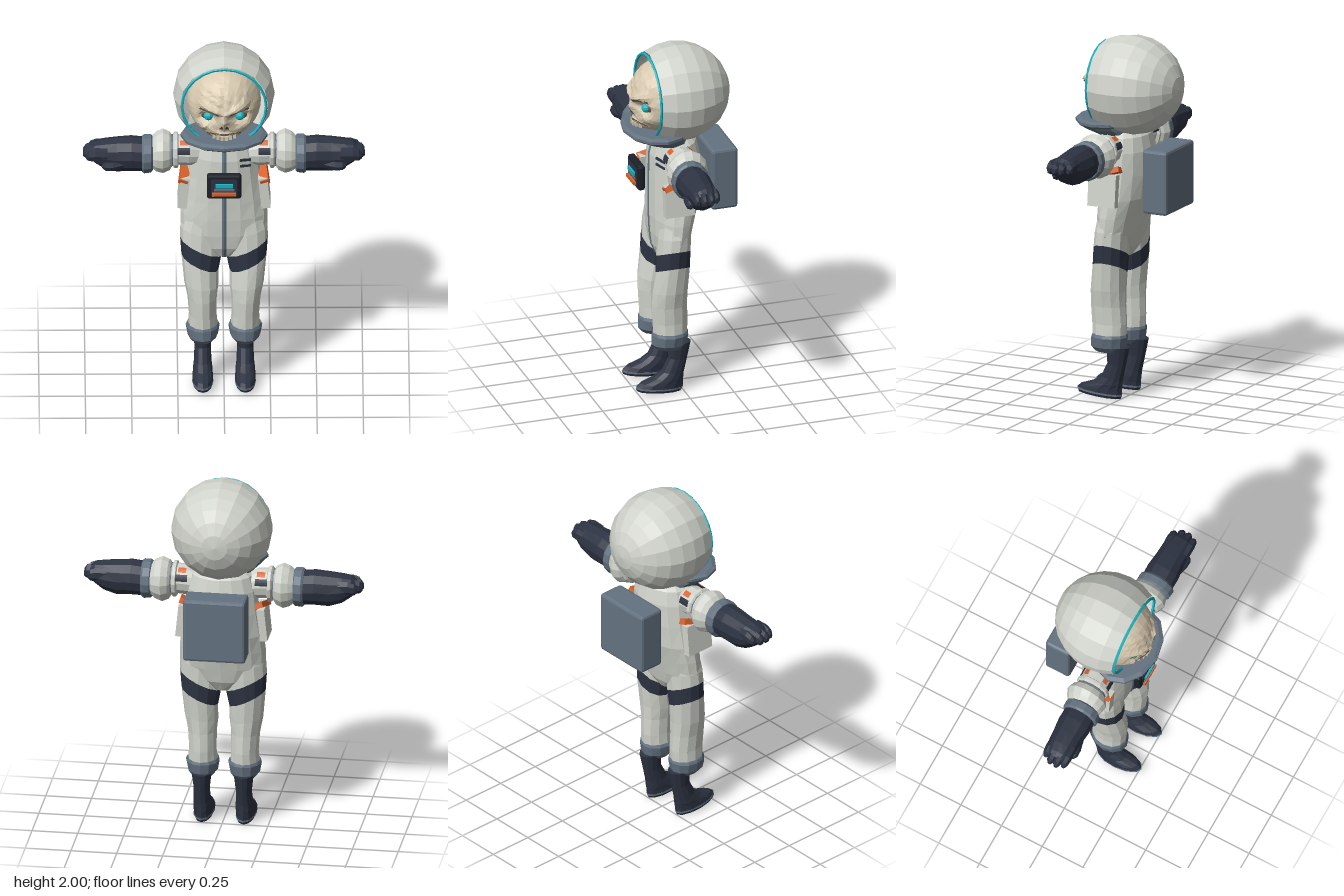
import * as THREE from 'three';
import { RoundedBoxGeometry } from 'three/addons/geometries/RoundedBoxGeometry.js';

const mat = (name, color, side = THREE.FrontSide) => {
  const m = new THREE.MeshStandardMaterial({ color, side });
  m.name = name;
  return m;
};

// Facet a geometry: every face gets its own flat normal
function facet(geo) {
  const g = geo.index ? geo.toNonIndexed() : geo;
  g.computeVertexNormals();
  return g;
}

// Mirror across x and restore the corner order
function mirrored(geo) {
  const g = geo.clone().scale(-1, 1, 1);
  const p = g.attributes.position, a = new THREE.Vector3(), b = new THREE.Vector3();
  for (let i = 0; i < p.count; i += 3) {
    a.fromBufferAttribute(p, i + 1);
    b.fromBufferAttribute(p, i + 2);
    p.setXYZ(i + 1, b.x, b.y, b.z);
    p.setXYZ(i + 2, a.x, a.y, a.z);
  }
  g.computeVertexNormals();
  return g;
}

// Skin elliptical rings along y: [y, cx, cz, rx, rz, slant] or along x: [x, cy, cz, ry, rz]
function loft(rings, n = 12, axis = 'y') {
  const pos = [], idx = [];
  const put = ([t, a, b, ra, rb, slant = 0], c, s) => {
    if (axis === 'y') pos.push(a + ra * c, t + slant * ra * c, b + rb * s);
    else pos.push(t, a + ra * s, b + rb * c);
  };
  for (const r of rings) {
    for (let i = 0; i < n; i++) {
      const th = (i / n) * Math.PI * 2;
      put(r, Math.cos(th), Math.sin(th));
    }
  }
  const last = (rings.length - 1) * n, c0 = rings.length * n;
  put(rings[0], 0, 0);
  put(rings[rings.length - 1], 0, 0);
  for (let i = 0; i < n; i++) {
    const j = (i + 1) % n;
    for (let k = 0; k < last; k += n) {
      idx.push(k + i, k + n + i, k + j, k + j, k + n + i, k + n + j);
    }
    idx.push(c0, i, j, c0 + 1, last + j, last + i);
  }
  const g = new THREE.BufferGeometry();
  g.setAttribute('position', new THREE.Float32BufferAttribute(pos, 3));
  g.setIndex(idx);
  return g;
}

const box = (w, h, d, x, y, z) => new THREE.BoxGeometry(w, h, d).translate(x, y, z);

// Face relief: bumps and hollows over an ellipsoid
const bump = (x, y, cx, cy, sx, sy) => Math.exp(-(((x - cx) / sx) ** 2) - ((y - cy) / sy) ** 2);
function relief(x, y) {
  const ax = Math.abs(x);
  return -0.05 * bump(ax, y, 0.085, 1.69, 0.045, 0.032)
    + 0.022 * bump(ax, y, 0.07, 1.75 + (ax - 0.07) * 0.4, 0.06, 0.02)
    + 0.022 * bump(x, y, 0, 1.67, 0.025, 0.04)
    + 0.02 * bump(ax, y, 0.12, 1.625, 0.04, 0.025)
    + 0.05 * bump(x, y, 0, 1.57, 0.09, 0.04)
    - 0.015 * bump(ax, y, 0.16, 1.78, 0.03, 0.05);
}
const faceZ = (x, y) =>
  0.06 + 0.19 * Math.sqrt(Math.max(0, 1 - (x / 0.2) ** 2 - ((y - 1.72) / 0.2) ** 2)) + relief(x, y);

function headGeometry() {
  const g = new THREE.SphereGeometry(1, 36, 28).rotateX(Math.PI / 2);
  const p = g.attributes.position;
  for (let i = 0; i < p.count; i++) {
    const x = p.getX(i) * 0.2, y = 1.72 + p.getY(i) * 0.2, z = p.getZ(i);
    const chip = 0.004 * Math.sin(x * 91 + y * 57) * Math.sin(y * 83 - x * 39);
    p.setXYZ(i, x, y, 0.06 + z * 0.19 + (z > 0 ? (relief(x, y) + chip) * Math.min(1, z * 3) : 0));
  }
  return g;
}

// Flat outline laid over the face
function facePatch(points, lift = 0.006) {
  const g = new THREE.ShapeGeometry(new THREE.Shape(points.map(([x, y]) => new THREE.Vector2(x, y))));
  const p = g.attributes.position;
  for (let i = 0; i < p.count; i++) p.setZ(i, faceZ(p.getX(i), p.getY(i)) + lift);
  return g;
}

export function createModel() {
  const suit = mat('suit white', 0xd0d3cb);
  const shell = mat('helmet white', 0xd0d3cb, THREE.DoubleSide);
  const trim = mat('slate trim', 0x647280);
  const dark = mat('dark navy', 0x2d3342);
  const black = mat('panel black', 0x1c2029);
  const bone = mat('bone', 0xd8cab0);
  const brown = mat('shadow brown', 0x5e5244, THREE.DoubleSide);
  const teal = mat('glow teal', 0x1bb4c4);
  const orange = mat('signal orange', 0xd9622b);

  const model = new THREE.Group();
  model.name = 'astronaut';
  const add = (name, geo, material) => {
    const mesh = new THREE.Mesh(facet(geo), material);
    mesh.name = name;
    model.add(mesh);
    return mesh;
  };
  const pair = (name, geo, material) => {
    const m = add(name + 'Left', geo, material);
    add(name + 'Right', mirrored(m.geometry), material);
  };

  // Helmet: open sphere with its pole at the back
  add('helmet', new THREE.SphereGeometry(1, 16, 8, 0, Math.PI * 2, 0, Math.PI * 2 / 3)
    .rotateX(-Math.PI / 2).scale(0.275, 0.275, 0.295).translate(0, 1.725, 0), shell);
  add('visorRing', new THREE.TorusGeometry(0.227, 0.008, 5, 24).translate(0, 1.725, 0.156), teal);
  add('collar', loft([
    [1.46, 0, 0.05, 0.15, 0.12], [1.5, 0, 0.1, 0.205, 0.16], [1.515, 0, 0.115, 0.22, 0.17],
    [1.525, 0, 0.12, 0.235, 0.178], [1.54, 0, 0.12, 0.235, 0.178], [1.55, 0, 0.115, 0.215, 0.16],
  ], 12), trim);

  // Head and face
  add('head', headGeometry(), bone);
  pair('eyeSocket', new THREE.SphereGeometry(1, 10, 8).scale(0.04, 0.027, 0.012)
    .translate(0.085, 1.69, faceZ(0.085, 1.69) + 0.002), brown);
  pair('eye', new THREE.SphereGeometry(0.026, 10, 8)
    .translate(0.085, 1.692, faceZ(0.085, 1.69) + 0.016), teal);
  pair('brow', facePatch([[0.03, 1.715], [0.08, 1.73], [0.135, 1.735], [0.13, 1.748], [0.08, 1.742], [0.03, 1.727]]), brown);
  pair('nostril', facePatch([[0.004, 1.635], [0.03, 1.632], [0.012, 1.66]]), brown);
  for (const y of [1.6, 1.565]) {
    pair('mouthLine', facePatch([[0, y - 0.006], [0.045, y - 0.01], [0.095, y - 0.018],
      [0.09, y - 0.008], [0.045, y + 0.003], [0, y + 0.004]]), brown);
  }
  for (const x of [0.011, 0.033, 0.055]) {
    pair('tooth', box(0.017, 0.024, 0.012, x, 1.578, faceZ(x, 1.578) + 0.003), bone);
  }

  // Torso with centre zip
  const torso = [
    [0.78, 0, 0.055, 0.06, 0.06], [0.84, 0, 0.05, 0.17, 0.09], [0.92, 0, 0.045, 0.235, 0.105],
    [1.02, 0, 0.035, 0.235, 0.12], [1.12, 0, 0.02, 0.225, 0.135], [1.25, 0, 0.015, 0.205, 0.14],
    [1.38, 0, 0.015, 0.19, 0.138], [1.46, 0, 0.015, 0.165, 0.12], [1.5, 0, 0.02, 0.12, 0.09],
  ];
  add('torso', loft(torso, 16), suit);
  add('zip', loft(torso.map(([y, , cz, , rz]) => [y, 0, cz + rz - 0.001, 0.012, 0.005]), 4), trim);

  // Chest unit and backpack
  add('chestUnit', new RoundedBoxGeometry(0.185, 0.145, 0.04, 1, 0.012).translate(0, 1.275, 0.222), black);
  add('chestPanel', box(0.14, 0.1, 0.006, 0, 1.275, 0.243), dark);
  add('tealBar', box(0.095, 0.02, 0.02, 0, 1.288, 0.248), teal);
  add('statusBar', box(0.11, 0.01, 0.012, 0, 1.262, 0.246), trim);
  add('orangeBar', box(0.13, 0.018, 0.02, 0, 1.237, 0.25), orange);
  add('backpack', new RoundedBoxGeometry(0.34, 0.355, 0.148, 1, 0.015).translate(0, 1.238, -0.226), trim);

  // Chest dashes on one side only
  for (const y of [1.38, 1.345]) {
    add('chestDash', box(0.065, 0.013, 0.009, 0, 0, 0).rotateZ(-0.15).rotateY(0.5).translate(0.115, y, 0.124), dark);
  }

  // Side pockets with orange flaps
  pair('pocket', box(0.05, 0.18, 0.165, 0, 0, 0).rotateZ(0.1).translate(0.218, 1.18, 0.055), suit);
  pair('pocketFlap', box(0.05, 0.03, 0.185, 0, 0, 0).rotateX(0.3).rotateZ(0.35).translate(0.212, 1.275, 0.05), orange);

  // Arms
  pair('upperArm', loft([[0.13, 1.39, 0.035, 0.07, 0.07], [0.19, 1.4, 0.045, 0.084, 0.08],
    [0.27, 1.405, 0.045, 0.084, 0.08]], 12, 'x'), suit);
  const armBand = (start, len, h, x) => new THREE.CylinderGeometry(0.09, 0.09, h, 4, 1, true, start, len)
    .rotateZ(-Math.PI / 2).translate(x, 1.405, 0.045);
  for (const [o, d] of [[-1.05, -0.55], [Math.PI + 0.7, Math.PI + 0.15]]) {
    pair('shoulderOrange', armBand(o, 0.35, 0.045, 0.215), orange);
    pair('shoulderDark', armBand(d, 0.42, 0.07, 0.22), dark);
  }
  pair('elbowRing', loft([[0.245, 1.4, 0.045, 0.085, 0.08], [0.252, 1.4, 0.045, 0.1, 0.095],
    [0.268, 1.4, 0.045, 0.1, 0.095], [0.278, 1.4, 0.045, 0.085, 0.08]], 12, 'x'), suit);
  pair('elbowSeam', loft([[0.272, 1.4, 0.045, 0.088, 0.085], [0.285, 1.4, 0.045, 0.088, 0.085]], 12, 'x'), trim);
  pair('sleevePuff', loft([[0.275, 1.395, 0.045, 0.08, 0.075], [0.295, 1.395, 0.045, 0.11, 0.1],
    [0.33, 1.395, 0.045, 0.125, 0.117], [0.365, 1.393, 0.048, 0.112, 0.105],
    [0.395, 1.39, 0.05, 0.085, 0.085]], 14, 'x'), suit);
  pair('gloveCuff', loft([[0.385, 1.387, 0.058, 0.095, 0.09], [0.395, 1.387, 0.058, 0.107, 0.102],
    [0.432, 1.385, 0.06, 0.109, 0.104], [0.443, 1.385, 0.06, 0.1, 0.095]], 14, 'x'), trim);

  // Gloves with curled fingers and thumb
  pair('glove', loft([[0.43, 1.385, 0.06, 0.095, 0.09], [0.5, 1.39, 0.06, 0.098, 0.092],
    [0.58, 1.385, 0.06, 0.098, 0.084], [0.65, 1.392, 0.062, 0.082, 0.08],
    [0.7, 1.405, 0.065, 0.058, 0.07], [0.725, 1.41, 0.065, 0.035, 0.05]], 12, 'x'), dark);
  [[0.01, 0.735], [0.047, 0.76], [0.085, 0.762], [0.122, 0.745]].forEach(([z, tip]) => {
    pair('finger', loft([[0.63, 1.41, z, 0.04, 0.024], [tip - 0.05, 1.412, z, 0.04, 0.025],
      [tip - 0.015, 1.407, z, 0.033, 0.021], [tip, 1.402, z, 0.015, 0.01]], 7, 'x'), dark);
  });
  pair('thumb', loft([[0.53, 1.36, 0.11, 0.03, 0.03], [0.6, 1.35, 0.128, 0.032, 0.027],
    [0.64, 1.35, 0.133, 0.028, 0.023], [0.658, 1.35, 0.133, 0.012, 0.01]], 7, 'x'), dark);

  // Legs with a slanted thigh band
  const bandLow = [0.725, 0.13, 0.06, 0.1, 0.093, 0.48];
  const bandHigh = [0.82, 0.125, 0.055, 0.112, 0.092, 0.48];
  pair('lowerLeg', loft([[0.33, 0.115, 0.07, 0.08, 0.095], [0.42, 0.115, 0.07, 0.075, 0.1],
    [0.52, 0.118, 0.075, 0.079, 0.1], [0.6, 0.123, 0.073, 0.092, 0.098, 0.15], bandLow]), suit);
  pair('thighBand', loft([bandLow, bandHigh]), dark);
  pair('upperLeg', loft([bandHigh, [0.92, 0.122, 0.05, 0.114, 0.09, 0.2], [1.0, 0.115, 0.045, 0.105, 0.085]]), suit);
  pair('ankleCuff', loft([[0.262, 0.115, 0.072, 0.06, 0.08], [0.29, 0.115, 0.075, 0.082, 0.1],
    [0.345, 0.115, 0.07, 0.092, 0.102], [0.36, 0.115, 0.07, 0.085, 0.096]]), trim);

  // Boots, toes tipped up a little
  const boot = (rings) => loft(rings, 12).rotateX(-0.09);
  pair('sole', boot([[0.0, 0.115, 0.132, 0.05, 0.128], [0.014, 0.115, 0.133, 0.056, 0.134]]), dark);
  pair('soleTrim', boot([[0.014, 0.115, 0.133, 0.057, 0.135], [0.024, 0.115, 0.133, 0.057, 0.135]]), trim);
  pair('boot', boot([[0.024, 0.115, 0.132, 0.056, 0.133], [0.045, 0.115, 0.122, 0.055, 0.122],
    [0.075, 0.115, 0.088, 0.053, 0.087], [0.11, 0.115, 0.066, 0.048, 0.064],
    [0.19, 0.115, 0.045, 0.044, 0.053], [0.29, 0.115, 0.045, 0.055, 0.065]]), dark);

  return model;
}
